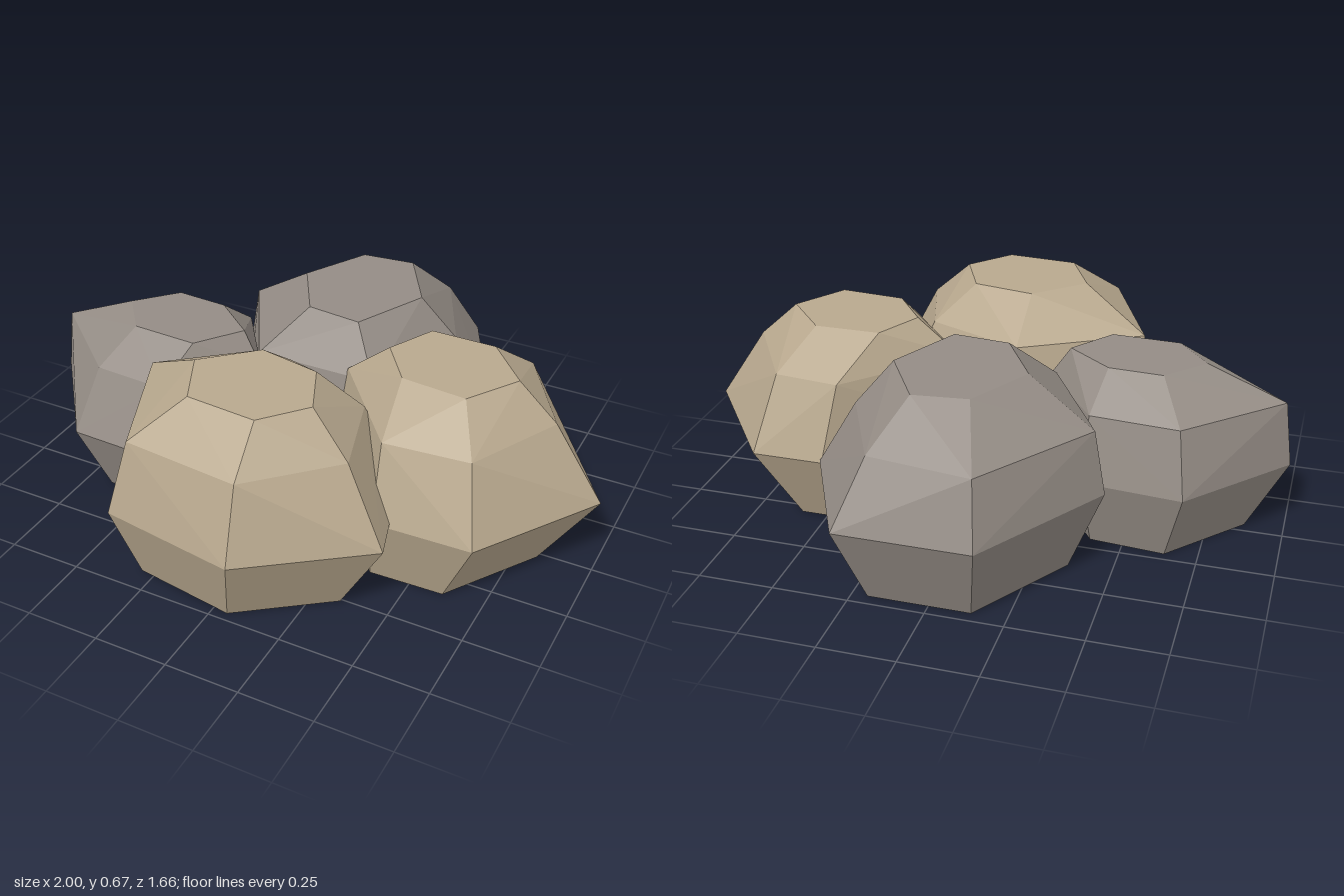
import * as THREE from 'three';
import { ConvexGeometry } from 'three/addons/geometries/ConvexGeometry.js';

const BASE_SCALE = 0.76;

function stone(name, color) {
  const material = new THREE.MeshStandardMaterial({ color });
  material.name = name;
  return material;
}

// A faceted boulder from four six-sided rings. girth and crown are the widest ring and the flat top as [x, z].
// The base is the girth shrunk and shifted; each shoulder point lies part of the way from girth to crown.
function boulder(name, material, { heights, girth, crown, baseShift, shoulder }) {
  const [girthY, shoulderY, crownY] = heights;
  const points = girth.flatMap(([x, z], i) => {
    const [crownX, crownZ] = crown[i];
    const t = shoulder[i];
    return [
      new THREE.Vector3(x * BASE_SCALE + baseShift[0], 0, z * BASE_SCALE + baseShift[1]),
      new THREE.Vector3(x, girthY, z),
      new THREE.Vector3(THREE.MathUtils.lerp(x, crownX, t), shoulderY, THREE.MathUtils.lerp(z, crownZ, t)),
      new THREE.Vector3(crownX, crownY, crownZ),
    ];
  });
  const mesh = new THREE.Mesh(new ConvexGeometry(points), material);
  mesh.name = name;
  return mesh;
}

export function createModel() {
  const sandstone = stone('sandstone', 0xb8a88e);
  const greyStone = stone('greyStone', 0x948c85);

  const group = new THREE.Group();
  group.name = 'boulderCluster';
  group.add(
    boulder('frontBoulder', sandstone, {
      heights: [0.285, 0.54, 0.67],
      girth: [[0.12, 0.83], [0.5, 0.55], [0.38, 0.15], [-0.06, 0], [-0.48, 0.28], [-0.34, 0.76]],
      crown: [[0.1, 0.6], [0.22, 0.46], [0.14, 0.28], [-0.07, 0.24], [-0.23, 0.39], [-0.14, 0.58]],
      baseShift: [-0.04, 0.09],
      shoulder: [0.35, 0.5, 0.45, 0.28, 0.08, 0.28],
    }),
    boulder('leftBoulder', sandstone, {
      heights: [0.27, 0.52, 0.64],
      girth: [[1, 0], [0.73, 0.41], [0.4, 0.42], [0.05, 0], [0.46, -0.41], [0.7, -0.41]],
      crown: [[0.7, 0], [0.59, 0.17], [0.37, 0.15], [0.26, 0], [0.34, -0.16], [0.56, -0.16]],
      baseShift: [0.06, 0.02],
      shoulder: [0.56, 0.4, 0.3, 0.3, 0.3, 0.4],
    }),
    boulder('rightBoulder', greyStone, {
      heights: [0.25, 0.47, 0.58],
      girth: [[-1, 0.04], [-0.72, 0.4], [-0.45, 0.41], [-0.15, 0.06], [-0.37, -0.27], [-0.7, -0.3]],
      crown: [[-0.71, 0.03], [-0.6, 0.17], [-0.37, 0.18], [-0.26, 0.03], [-0.41, -0.09], [-0.59, -0.1]],
      baseShift: [-0.11, 0.01],
      shoulder: [0.1, 0.42, 0.4, 0.35, 0.25, 0.25],
    }),
    boulder('backBoulder', greyStone, {
      heights: [0.285, 0.495, 0.64],
      girth: [[-0.18, -0.83], [0.26, -0.83], [0.46, -0.42], [0.25, 0.05], [-0.25, 0.04], [-0.47, -0.38]],
      crown: [[-0.09, -0.55], [0.09, -0.57], [0.22, -0.35], [0.1, -0.1], [-0.09, -0.12], [-0.21, -0.33]],
      baseShift: [0, -0.08],
      shoulder: [0.25, 0.45, 0.5, 0.3, 0.2, 0.15],
    }),
  );
  return group;
}
